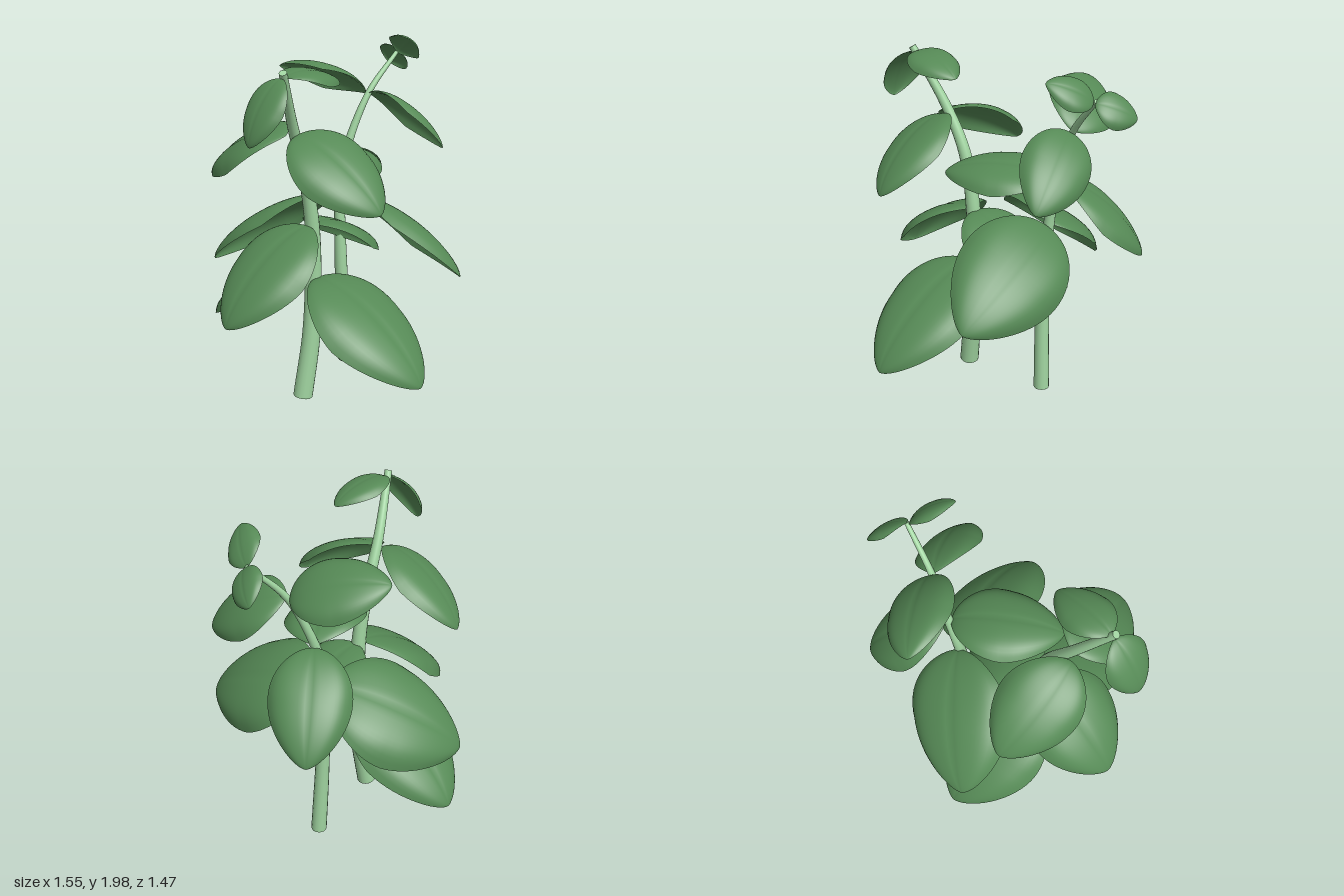
import * as THREE from 'three';

const leafMaterial = new THREE.MeshStandardMaterial({ color: 0x568a56, side: THREE.DoubleSide });
const stemMaterial = new THREE.MeshStandardMaterial({ color: 0xa0d4a0, side: THREE.DoubleSide });
const V = (p) => new THREE.Vector3(...p);

// Tapered tube along a smooth curve, closed at both ends
function makeStem(name, points, r0, r1) {
  const group = new THREE.Group();
  group.name = name;
  const curve = new THREE.CatmullRomCurve3(points.map(V));
  const rings = 40, sides = 16;
  const geo = new THREE.TubeGeometry(curve, rings, 1, sides);
  const pos = geo.attributes.position, v = new THREE.Vector3();
  for (let i = 0; i < pos.count; i++) {
    const t = Math.floor(i / (sides + 1)) / rings;
    const c = curve.getPointAt(t);
    v.fromBufferAttribute(pos, i).sub(c).multiplyScalar(r0 + (r1 - r0) * t ** 1.3).add(c);
    pos.setXYZ(i, v.x, v.y, v.z);
  }
  const tube = new THREE.Mesh(geo, stemMaterial);
  tube.name = 'stemTube';
  group.add(tube);
  for (const [t, r, sign] of [[0, r0, -1], [1, r1, 1]]) {
    const cap = new THREE.Mesh(new THREE.CircleGeometry(r, sides), stemMaterial);
    cap.name = 'stemEnd';
    cap.position.copy(curve.getPointAt(t));
    cap.quaternion.setFromUnitVectors(V([0, 0, 1]), curve.getTangentAt(t).multiplyScalar(sign));
    group.add(cap);
  }
  return group;
}

// Cupped egg-shaped leaf from base to tip; roll lifts its right-hand edge
function makeLeaf(name, base, tip, width, roll = 0) {
  const start = V(base);
  const dir = V(tip).sub(start);
  const length = dir.length();
  dir.normalize();
  const side = dir.clone().cross(V([0, 1, 0])).normalize();
  const up = side.clone().cross(dir);
  side.applyAxisAngle(dir, -roll);
  up.applyAxisAngle(dir, -roll);

  const geo = new THREE.PlaneGeometry(2, 1, 24, 36);
  const pos = geo.attributes.position;
  for (let i = 0; i < pos.count; i++) {
    const u = pos.getX(i);
    const s = THREE.MathUtils.clamp(pos.getY(i) + 0.5, 0, 1);
    const t = (1 - Math.cos(Math.PI * s)) / 2; // finer rows towards both ends
    const half = width / 2 * Math.pow(Math.max(0, Math.sin(Math.PI * Math.pow(t, 0.85))), 0.64);
    const arch = 0.38 * length * t ** 0.65 * (1 - t) ** 0.72;
    const droop = half * Math.min(1, 0.35 + 1.3 * t) * (0.18 * u * u + 0.22 * u ** 6);
    const vein = 0.02 * half * Math.exp(-((u / 0.08) ** 2));
    pos.setXYZ(i, u * half, t * length, arch - droop - vein);
  }
  geo.applyMatrix4(new THREE.Matrix4().makeBasis(side, dir, up).setPosition(start));
  geo.computeVertexNormals();
  const leaf = new THREE.Mesh(geo, leafMaterial);
  leaf.name = name;
  return leaf;
}

export function createModel() {
  const model = new THREE.Group();
  model.name = 'leafyPlant';

  model.add(makeStem('tallStem', [
    [-0.24, 0.02, -0.02], [-0.185, 0.4, 0], [-0.165, 0.75, 0], [-0.175, 1.08, 0],
    [-0.235, 1.38, 0], [-0.35, 1.64, 0.03], [-0.51, 1.95, 0.115]], 0.056, 0.02));
  model.add(makeStem('slenderStem', [
    [0.27, 0.01, -0.115], [0.25, 0.5, -0.13], [0.25, 0.85, -0.145], [0.27, 1.15, -0.16],
    [0.325, 1.36, -0.15], [0.45, 1.65, -0.1], [0.64, 1.87, -0.04]], 0.045, 0.012));

  // Opposite leaf pairs, from the bottom of each stem upwards: base, tip, width, roll
  const leaves = {
    tallStemLeaf: [
      [[-0.17, 0.74, 0.02], [-0.165, 0.31, 0.735], 0.61],
      [[-0.17, 0.74, -0.02], [-0.14, 0.31, -0.735], 0.61],
      [[-0.2, 1.05, 0], [-0.77, 0.63, -0.08], 0.54],
      [[-0.16, 1.05, 0], [0.31, 0.78, 0.03], 0.46],
      [[-0.34, 1.59, 0.04], [-0.3, 1.27, 0.555], 0.46, -0.3],
      [[-0.37, 1.59, 0], [-0.35, 1.3, -0.54], 0.44, 0.35],
      [[-0.51, 1.92, 0.105], [-0.72, 1.62, 0.08], 0.26],
      [[-0.49, 1.92, 0.11], [-0.14, 1.85, 0.15], 0.26, -0.12],
    ],
    slenderStemLeaf: [
      [[0.28, 1.05, -0.13], [0.37, 0.73, 0.615], 0.59, 0.6],
      [[0.25, 1.05, -0.17], [-0.22, 0.68, -0.72], 0.62, -0.48],
      [[0.31, 1.33, -0.14], [-0.2, 1.33, 0.18], 0.44, 0.14],
      [[0.33, 1.33, -0.16], [0.68, 0.91, -0.45], 0.43],
      [[0.44, 1.65, -0.11], [0.19, 1.79, -0.545], 0.38, -0.52],
      [[0.44, 1.65, -0.09], [0.59, 1.37, 0.325], 0.36, 0.55],
      [[0.63, 1.86, -0.03], [0.49, 1.97, 0.16], 0.2, 0.7],
      [[0.64, 1.86, -0.03], [0.77, 1.77, -0.2], 0.2, -0.8],
    ],
  };
  for (const [name, list] of Object.entries(leaves)) {
    list.forEach((leaf, i) => model.add(makeLeaf(name + (i + 1), ...leaf)));
  }
  return model;
}
